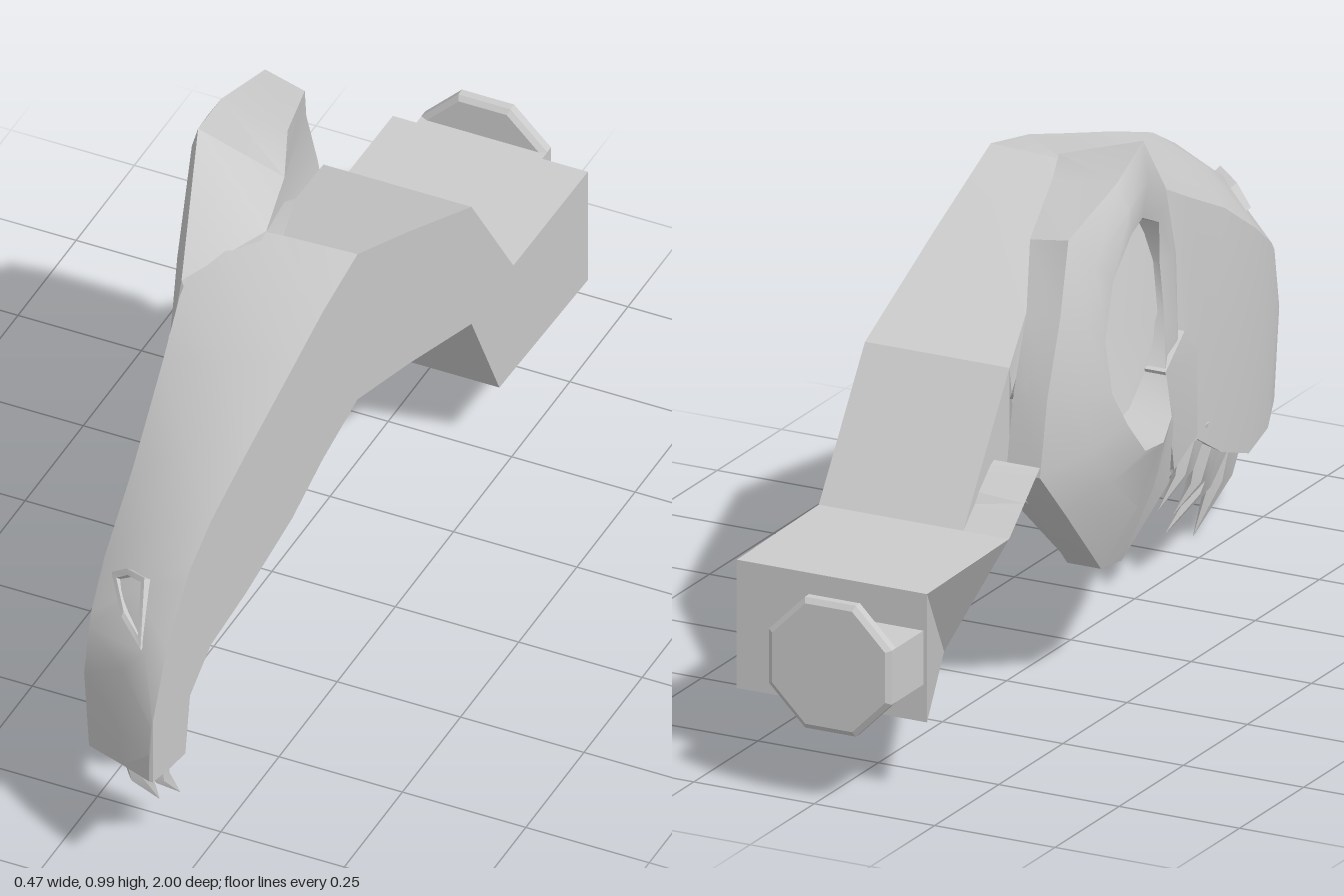
import * as THREE from 'three';
import { toCreasedNormals } from 'three/addons/utils/BufferGeometryUtils.js';

const material = new THREE.MeshStandardMaterial({ color: 0xcccccc, side: THREE.DoubleSide });

// Skin a row of closed cross-sections; ring = true joins the last to the first
function loft(sections, { ring = false, crease = 0.5 } = {}) {
  const n = sections[0].length, m = sections.length;
  const pts = sections.flat().map(p => new THREE.Vector3(...p));
  const tris = [];
  for (let i = 0; i < (ring ? m : m - 1); i++) {
    for (let j = 0; j < n; j++) {
      const k = (j + 1) % n, i2 = (i + 1) % m;
      const a = i * n + j, b = i * n + k, c = i2 * n + k, d = i2 * n + j;
      tris.push([a, b, c], [a, c, d]);
    }
  }
  if (!ring) {
    [0, m - 1].forEach(i => {
      for (let j = 1; j < n - 1; j++) {
        const t = [i * n, i * n + j, i * n + j + 1];
        tris.push(i === 0 ? t.reverse() : t);
      }
    });
  }
  // Turn every face outward by the sign of the enclosed volume
  const cross = new THREE.Vector3();
  let volume = 0;
  tris.forEach(([a, b, c]) => { volume += pts[a].dot(cross.crossVectors(pts[b], pts[c])); });
  const pos = tris.flatMap(t => (volume < 0 ? [t[0], t[2], t[1]] : t).flatMap(i => pts[i].toArray()));
  const geo = new THREE.BufferGeometry();
  geo.setAttribute('position', new THREE.Float32BufferAttribute(pos, 3));
  return toCreasedNormals(geo, crease);
}

// Give a (z, y, x) outline a thickness along x
function panel(outline, thickness) {
  return loft([0, thickness].map(t => outline.map(([z, y, x]) => [x + t, y, z])), { crease: 0.4 });
}

export function createModel() {
  const model = new THREE.Group();
  const add = (name, geometry, parent = model) => {
    const mesh = new THREE.Mesh(geometry, material);
    mesh.name = name;
    parent.add(mesh);
    return mesh;
  };
  const CUT = 0.23;

  // Snout half: z, top y, shoulder, side, outer lip, inner lip, palate edge, palate y
  const stations = [
    [1.0, 0.42, [0.225, 0.4], [0.222, 0.34], [0.222, 0.28], [0.225, 0.28], [0.228, 0.28], 0.28],
    [0.94, 0.545, [0.14, 0.47], [0.125, 0.34], [0.14, 0.25], [0.17, 0.255], [0.2, 0.265], 0.265],
    [0.86, 0.64, [0.035, 0.48], [0.025, 0.37], [0.035, 0.205], [0.08, 0.22], [0.12, 0.25], 0.25],
    [0.84, 0.66, [0.03, 0.5], [0.02, 0.37], [0.025, 0.195], [0.07, 0.21], [0.09, 0.31], 0.37],
    [0.75, 0.71, [0.015, 0.56], [0.0, 0.38], [-0.01, 0.175], [0.03, 0.19], [0.05, 0.35], 0.425],
    [0.6, 0.76, [0.0, 0.65], [-0.035, 0.42], [-0.05, 0.18], [-0.01, 0.19], [0.01, 0.37], 0.44],
    [0.4, 0.82, [-0.035, 0.74], [-0.08, 0.48], [-0.1, 0.255], [-0.06, 0.265], [-0.04, 0.41], 0.475],
    [0.27, 0.86, [-0.06, 0.8], [-0.105, 0.55], [-0.12, 0.325], [-0.09, 0.33], [-0.07, 0.44], 0.52],
    [0.12, 0.89, [-0.07, 0.87], [-0.12, 0.6], [-0.13, 0.33], [-0.1, 0.34], [-0.08, 0.46], 0.555],
    [-0.1, 0.79, [0.0, 0.79], [-0.03, 0.62], [-0.12, 0.41], [-0.1, 0.4], [-0.05, 0.44], 0.485],
    [-0.37, 0.66, [-0.07, 0.66], [-0.08, 0.55], [-0.12, 0.41], [-0.09, 0.4], [0.0, 0.395], 0.39],
  ];
  add('snout', loft(stations.map(([z, top, shoulder, ...rest]) => {
    const bottom = rest.pop();
    const crown = [(CUT + shoulder[0]) / 2, 0.7 * top + 0.3 * shoulder[1]];
    return [[CUT, top, z], ...[crown, shoulder, ...rest].map(([x, y]) => [x, y, z]), [CUT, bottom, z]];
  }), { crease: 0.6 }));

  // Orbit and cheek: [z, y, x] of outer edge, inner rim and, for the crest, its inner edge
  const orbit = [
    [[0.24, 0.815, -0.07], [0.11, 0.8, -0.125], [0.13, 0.892, 0.05]],
    [[0.02, 0.99, -0.14], [-0.03, 0.86, -0.165], [0.02, 0.935, 0.035]],
    [[-0.12, 0.955, -0.16], [-0.12, 0.86, -0.19], [-0.11, 0.935, -0.02]],
    [[-0.3, 0.9, -0.155], [-0.21, 0.8, -0.2], [-0.29, 0.885, -0.07]],
    [[-0.36, 0.77, -0.17], [-0.26, 0.7, -0.21]],
    [[-0.41, 0.63, -0.17], [-0.26, 0.6, -0.225]],
    [[-0.43, 0.48, -0.165], [-0.22, 0.53, -0.235]],
    [[-0.36, 0.39, -0.18], [-0.16, 0.46, -0.24]],
    [[-0.21, 0.235, -0.175], [-0.08, 0.45, -0.235]],
    [[-0.12, 0.222, -0.17], [0.0, 0.47, -0.21]],
    [[0.14, 0.285, -0.13], [0.07, 0.53, -0.16]],
    [[0.22, 0.5, -0.11], [0.12, 0.62, -0.13]],
    [[0.25, 0.69, -0.085], [0.14, 0.71, -0.11]],
  ];
  add('orbitAndCheek', loft(orbit.map(([o, r, crest]) => {
    const back = crest || [o[0], o[1], o[2] + 0.07];
    const mid = o.map((v, i) => (v + r[i]) / 2);
    mid[2] -= 0.012;
    return [back, o, mid, r, [r[0], r[1], -0.08]].map(([z, y, x]) => [x, y, z]);
  }), { ring: true, crease: 0.55 }));

  // Wall that closes the orbit from the inside and rises to the crest
  add('orbitWall', panel([[0.12, 0.885, 0.045], [0.02, 0.935, 0.035], [-0.11, 0.935, -0.02],
    [-0.29, 0.885, -0.07], [-0.36, 0.77, -0.1], [-0.41, 0.63, -0.1], [-0.37, 0.6, -0.07],
    [-0.1, 0.72, 0.01]], -0.03));

  // Inner face of the cheek, with the bar at its front edge
  add('cheekInside', panel([[0.12, 0.465, -0.07], [0.14, 0.29, -0.09], [-0.12, 0.23, -0.1],
    [-0.21, 0.245, -0.1], [-0.36, 0.4, -0.07], [-0.1, 0.455, -0.06]], -0.03));
  add('cheekSeam', loft([[0.295, -0.125], [0.465, -0.1]].map(([y, x], i) => {
    const z = 0.145 - i * 0.035;
    return [[x, y, z - 0.01], [x + 0.045, y, z - 0.01], [x + 0.045, y, z + 0.01], [x, y, z + 0.01]];
  })));

  // Raised plate in front of the orbit
  add('cheekPlate', panel([[0.06, 0.53, -0.165], [0.2, 0.56, -0.13], [0.26, 0.5, -0.125],
    [0.24, 0.345, -0.135], [0.14, 0.31, -0.14]], 0.05));

  // Neck block, its outer lower edge cut away toward the front
  const neck = [
    [-0.87, -0.165, 0.145, 0.145, 0.395, -0.165, 0.395],
    [-0.55, -0.03, 0.158, 0.158, 0.4, -0.165, 0.4],
    [-0.49, 0.0, 0.16, 0.16, 0.475, -0.165, 0.45],
    [-0.43, 0.03, 0.275, 0.275, 0.5, -0.165, 0.5],
    [-0.37, 0.06, 0.39, 0.39, 0.55, -0.1, 0.45],
  ];
  add('neckBlock', loft(neck.map(([z, lowX, lowY, cutLow, cutTop, topX, topY]) =>
    [[lowX, lowY, z], [CUT, cutLow, z], [CUT, cutTop, z], [topX, topY, z]]), { crease: 0.15 }));
  add('skullBack', panel([[-0.37, 0.66, -0.07], [-0.55, 0.4, -0.07], [-0.37, 0.39, -0.07]], CUT + 0.07));

  // Connector: flat stem and eight-sided bevelled plate
  const connector = new THREE.Group();
  connector.name = 'connector';
  connector.position.set(-0.03, 0.27, 0);
  model.add(connector);
  add('stem', new THREE.BoxGeometry(0.255, 0.105, 0.12), connector).position.z = -0.92;
  add('plate', loft([[-0.97, 0.127], [-0.977, 0.138], [-0.993, 0.138], [-1, 0.127]].map(([z, r]) =>
    Array.from({ length: 8 }, (_, i) => {
      const a = (i + 0.5) * Math.PI / 4;
      return [r * Math.cos(a), r * Math.sin(a), z];
    })), { crease: 0.1 }), connector);

  // Teeth: root, tip, root radius; each curves back toward its tip
  const teeth = [
    [[0.18, 0.26, 0.875], [0.2, 0.125, 0.82], 0.036],
    [[0.11, 0.245, 0.83], [0.13, 0.045, 0.76], 0.05],
    [[0.03, 0.225, 0.68], [0.065, 0, 0.6], 0.06],
    [[-0.015, 0.225, 0.53], [0.02, 0.075, 0.41], 0.06],
    [[-0.065, 0.275, 0.42], [-0.03, 0.14, 0.345], 0.046],
    [[-0.09, 0.335, 0.31], [-0.06, 0.19, 0.23], 0.046],
  ];
  teeth.forEach(([root, tip, r], t) => {
    const bend = [(root[0] + tip[0]) / 2 - 0.008, (root[1] + tip[1]) / 2 - 0.01, (root[2] + tip[2]) / 2 + 0.012];
    const rings = [[root, r], [bend, r * 0.66], [tip, 0.001]].map(([c, s]) =>
      Array.from({ length: 6 }, (_, i) => {
        const a = i * Math.PI / 3;
        return [c[0] + 0.5 * s * Math.sin(a), c[1], c[2] + s * Math.cos(a)];
      }));
    add(`tooth${t + 1}`, loft(rings, { crease: 0.4 }));
  });

  // Nostril rim: raised three-cornered frame
  const corners = [[0.06, 0.57, 0.8], [0.1, 0.605, 0.82], [0.15, 0.62, 0.85], [0.18, 0.52, 0.93], [0.12, 0.545, 0.885]];
  const centre = [0.125, 0.578, 0.858];
  const normal = [-0.45, 0.55, 0.7];
  add('nostrilRim', loft(corners.map(c => [[1, -0.02], [1, 0.01], [0.75, 0.01], [0.68, -0.02]].map(([s, h]) =>
    c.map((v, i) => centre[i] + (v - centre[i]) * s + normal[i] * h))), { ring: true, crease: 0.3 }));

  return model;
}
